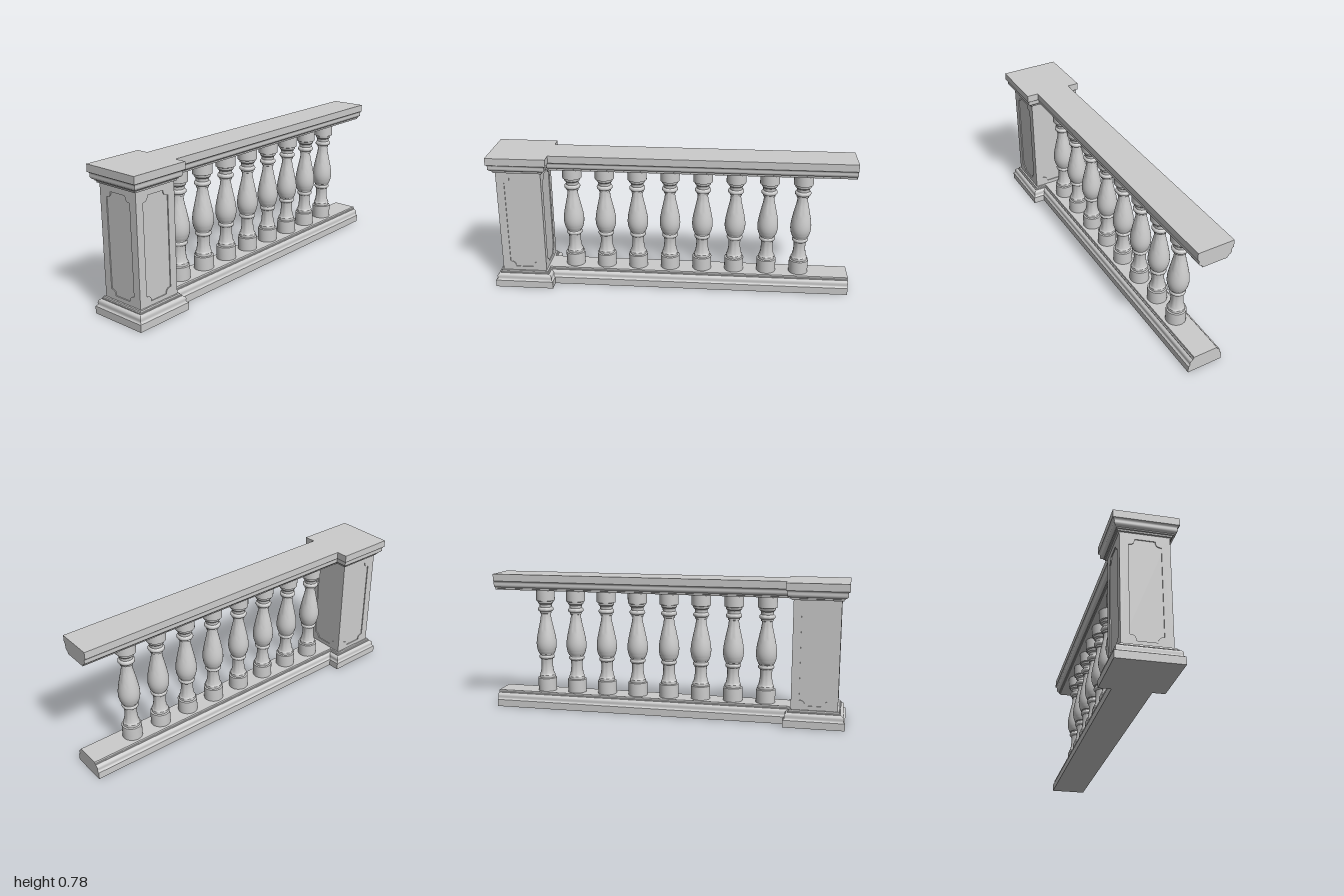
import * as THREE from 'three';
import { toCreasedNormals } from 'three/addons/utils/BufferGeometryUtils.js';

const HEIGHT = 0.78, POST_Z = 0.835, SHAFT = 0.25, RECESS = 0.005;
const material = new THREE.MeshStandardMaterial({ color: 0xcccccc });

// Shared moulding profile [half width on the post, height], from the ground up
const MOULDING = [
  [0.165, 0], [0.165, 0.04], [0.161, 0.042], [0.157, 0.046], [0.1555, 0.053], [0.1565, 0.06],
  [0.156, 0.067], [0.152, 0.073], [0.146, 0.077], [0.141, 0.078], [0.141, 0.083],
  [0.136, 0.085], [0.134, 0.093],
];

function part(name, geometry, parent) {
  const mesh = new THREE.Mesh(geometry, material);
  mesh.name = name;
  parent.add(mesh);
  return mesh;
}

// Square moulded block; the top one is the base turned upside down
function squareMoulding(flip) {
  let pts = [[0, 0], ...MOULDING, [0, 0.093]].map(([r, y]) =>
    new THREE.Vector2(r * Math.SQRT2, flip ? HEIGHT - y : y));
  if (flip) pts.reverse();
  return toCreasedNormals(new THREE.LatheGeometry(pts, 4, Math.PI / 4), 0.6);
}

// Rail with the same moulding, narrower, running back from the post
function railGeometry(flip) {
  const right = MOULDING.map(([x, y]) => new THREE.Vector2(x - 0.065, flip ? HEIGHT - y : y));
  const left = right.map(p => new THREE.Vector2(-p.x, p.y)).reverse();
  const geo = new THREE.ExtrudeGeometry(new THREE.Shape([...right, ...left]),
    { depth: 1.72, bevelEnabled: false });
  geo.translate(0, 0, -1);
  return toCreasedNormals(geo, 0.6);
}

// Facing plate with a panel opening that has scooped corners
function panelPlate(width) {
  const w = width / 2, y0 = 0.09, y1 = 0.69;
  const plate = new THREE.Shape([[-w, y0], [w, y0], [w, y1], [-w, y1]].map(p => new THREE.Vector2(...p)));
  const hole = [], hx = 0.081, cy = 0.385, hy = 0.27, r = 0.024, lip = 0.006;
  const corners = [[1, 1], [-1, 1], [-1, -1], [1, -1]];
  corners.forEach(([sx, sy], i) => {
    const pts = [[0, r + lip]];
    for (let k = 0; k <= 8; k++) {
      const a = (k / 8) * Math.PI / 2;
      pts.push([lip + r * Math.sin(a), lip + r * Math.cos(a)]);
    }
    pts.push([r + lip, 0]);
    if (i % 2) pts.reverse();
    pts.forEach(([dx, dy]) => hole.push(new THREE.Vector2(sx * (hx - dx), cy + sy * (hy - dy))));
  });
  plate.holes.push(new THREE.Path(hole));
  return new THREE.ExtrudeGeometry(plate, { depth: RECESS, bevelEnabled: false });
}

function balusterGeometry() {
  const V = (r, y) => new THREE.Vector2(r, y);
  const curve = (pts, n) => new THREE.SplineCurve(pts.map(p => V(...p))).getPoints(n);
  const pts = [
    V(0, 0.088), V(0.054, 0.088), V(0.054, 0.168), V(0.046, 0.171), V(0.046, 0.186),
    // lower neck
    ...curve([[0.042, 0.19], [0.036, 0.215], [0.033, 0.25], [0.035, 0.281]], 8),
    // lower ring
    ...curve([[0.039, 0.283], [0.044, 0.289], [0.044, 0.298], [0.039, 0.304]], 6),
    V(0.039, 0.309),
    // belly and tapering upper neck
    ...curve([[0.044, 0.311], [0.053, 0.333], [0.058, 0.365], [0.055, 0.405],
      [0.043, 0.465], [0.032, 0.515], [0.028, 0.548]], 20),
    V(0.034, 0.55), V(0.034, 0.56),
    // upper ring
    ...curve([[0.039, 0.562], [0.044, 0.568], [0.044, 0.578], [0.039, 0.584]], 6),
    V(0.035, 0.586), V(0.036, 0.602), V(0.044, 0.61), V(0.046, 0.622),
    V(0.054, 0.625), V(0.054, 0.692), V(0, 0.692),
  ];
  return toCreasedNormals(new THREE.LatheGeometry(pts, 28), 0.6);
}

export function createModel() {
  const model = new THREE.Group();
  model.name = 'balustrade';

  // Post
  const post = new THREE.Group();
  post.name = 'post';
  post.position.z = POST_Z;
  model.add(post);
  part('postBase', squareMoulding(false), post);
  part('postCap', squareMoulding(true), post);
  const core = SHAFT - 2 * RECESS;
  part('postCore', new THREE.BoxGeometry(core, 0.6, core), post).position.y = 0.39;
  for (let i = 0; i < 4; i++) {
    const plate = part('postPanelFrame', panelPlate(i % 2 ? core : SHAFT), post);
    const a = i * Math.PI / 2;
    plate.rotation.y = a;
    plate.position.set(Math.sin(a) * core / 2, 0, Math.cos(a) * core / 2);
  }

  // Rails
  part('bottomRail', railGeometry(false), model);
  part('topRail', railGeometry(true), model);

  // Balusters
  const baluster = balusterGeometry();
  for (let i = 0; i < 8; i++) part('baluster', baluster, model).position.z = 0.562 - i * 0.1836;

  return model;
}
